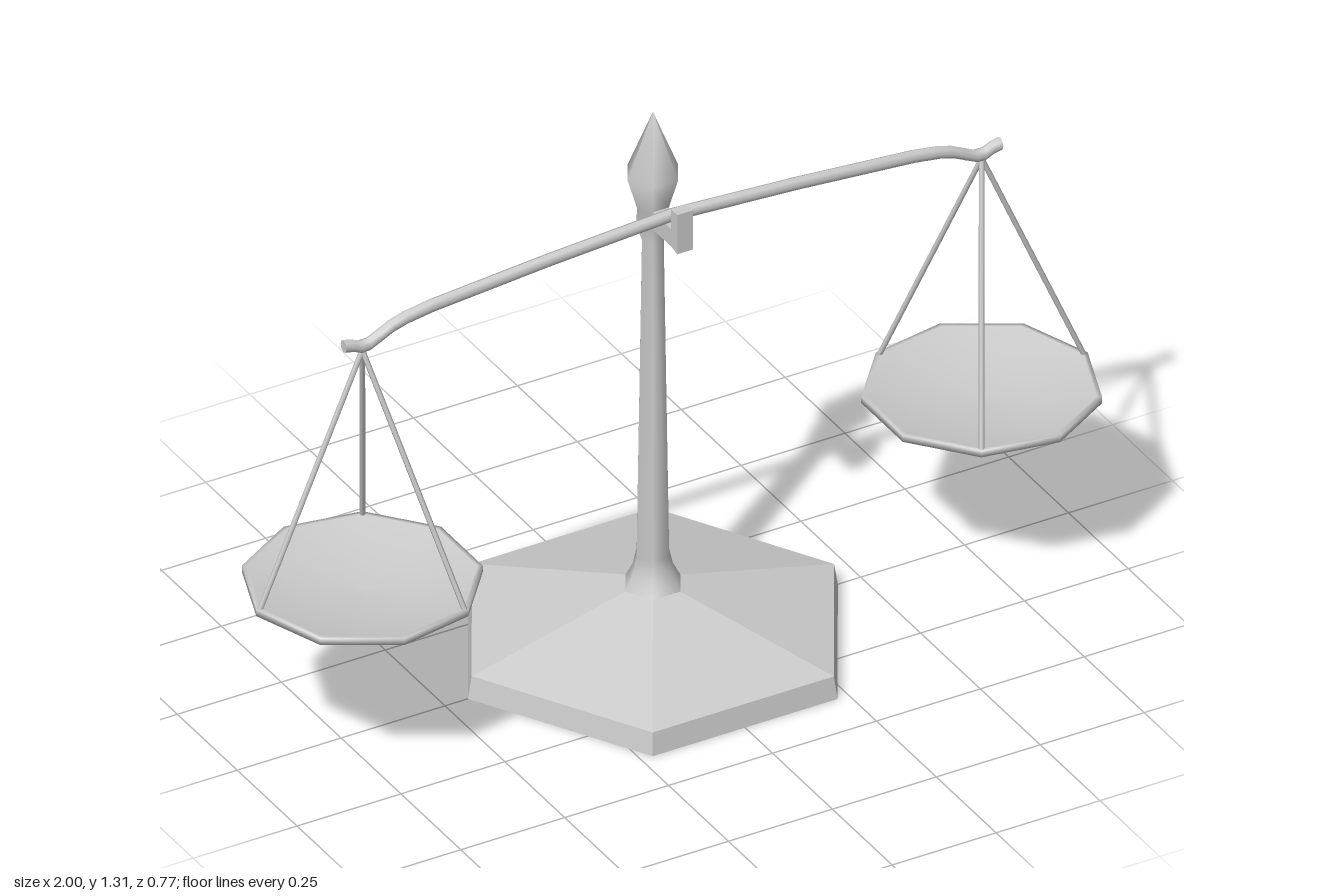
import * as THREE from 'three';
import { toCreasedNormals } from 'three/addons/utils/BufferGeometryUtils.js';

const grey = new THREE.MeshStandardMaterial({ color: 0xcccccc });
const grey2 = new THREE.MeshStandardMaterial({ color: 0xcccccc, side: THREE.DoubleSide });

function add(parent, name, geometry, material = grey) {
  const mesh = new THREE.Mesh(geometry, material);
  mesh.name = name;
  parent.add(mesh);
  return mesh;
}

// Faceted lathe with one corner on +x
function turned(profile, sides) {
  const points = profile.map(([r, y]) => new THREE.Vector2(r, y));
  return new THREE.LatheGeometry(points, sides, Math.PI / 2);
}

// Thin straight rod between two points
function rod(a, b, radius) {
  const dir = b.clone().sub(a);
  const g = new THREE.CylinderGeometry(radius, radius, dir.length(), 6);
  g.applyQuaternion(new THREE.Quaternion().setFromUnitVectors(new THREE.Vector3(0, 1, 0), dir.normalize()));
  const mid = a.clone().add(b).multiplyScalar(0.5);
  return g.translate(mid.x, mid.y, mid.z);
}

// Capped bar along x whose rings follow a mirrored centre line
function beamGeometry() {
  const half = [[0, 1.1], [0.3, 1.082], [0.58, 1.059], [0.64, 1.05], [0.675, 1.04],
    [0.705, 1.025], [0.73, 1.013], [0.75, 1.012], [0.77, 1.021], [0.79, 1.025]];
  const line = [...half.slice(1).reverse().map(([x, y]) => [-x, y]), ...half];
  const n = line.length - 1;
  const g = new THREE.CylinderGeometry(0.015, 0.015, n, 8, n);
  g.rotateZ(-Math.PI / 2);
  const p = g.attributes.position;
  for (let i = 0; i < p.count; i++) {
    const [x, y] = line[Math.round(p.getX(i) + n / 2)];
    p.setXYZ(i, x, y + p.getY(i), p.getZ(i) * 0.85);
  }
  return toCreasedNormals(g, 0.9);
}

export function createModel() {
  const model = new THREE.Group();
  model.name = 'balanceScale';
  const zBeam = 0.08;

  // Hexagonal foot
  add(model, 'base', toCreasedNormals(
    turned([[0, 0], [0.445, 0], [0.436, 0.053], [0.06, 0.146], [0, 0.146]], 6), 0.15));

  // Column with flared foot, collar and pointed finial
  add(model, 'post', turned([[0.067, 0.143], [0.048, 0.18], [0.039, 0.22], [0.026, 1.0],
    [0.039, 1.04], [0.037, 1.08], [0.061, 1.16], [0, 1.31]], 6));

  // Upturned bracket carrying the beam
  const bracket = new THREE.Shape([[0, 1.043], [0.11, 1.043], [0.135, 1.038], [0.135, 1.135],
    [0.108, 1.135], [0.108, 1.086], [0, 1.086]].map(([z, y]) => new THREE.Vector2(z, y)));
  const bracketGeo = new THREE.ExtrudeGeometry(bracket, { depth: 0.038, bevelEnabled: false });
  bracketGeo.rotateY(-Math.PI / 2).translate(0.019, 0, 0);
  add(model, 'bracket', bracketGeo);

  // Beam with hooked ends
  add(model, 'beam', beamGeometry()).position.z = zBeam;

  // Hanging pans, each with three wires
  const panGeo = turned([[0, 0.395], [0.125, 0.395], [0.255, 0.425], [0.255, 0.441],
    [0.244, 0.441], [0.125, 0.411], [0, 0.407]], 9);
  const top = new THREE.Vector3(0, 1.002, 0);
  for (const side of [1, -1]) {
    const hanger = new THREE.Group();
    hanger.name = side > 0 ? 'leftPanAssembly' : 'rightPanAssembly';
    hanger.position.set(side * 0.745, 0, zBeam);
    if (side < 0) hanger.rotation.y = Math.PI;
    add(hanger, 'pan', panGeo, grey2);
    for (let i = 0; i < 3; i++) {
      const a = i * Math.PI * 2 / 3;
      const end = new THREE.Vector3(0.247 * Math.cos(a), 0.437, 0.247 * Math.sin(a));
      add(hanger, 'wire', rod(top, end, 0.006));
    }
    model.add(hanger);
  }
  return model;
}
